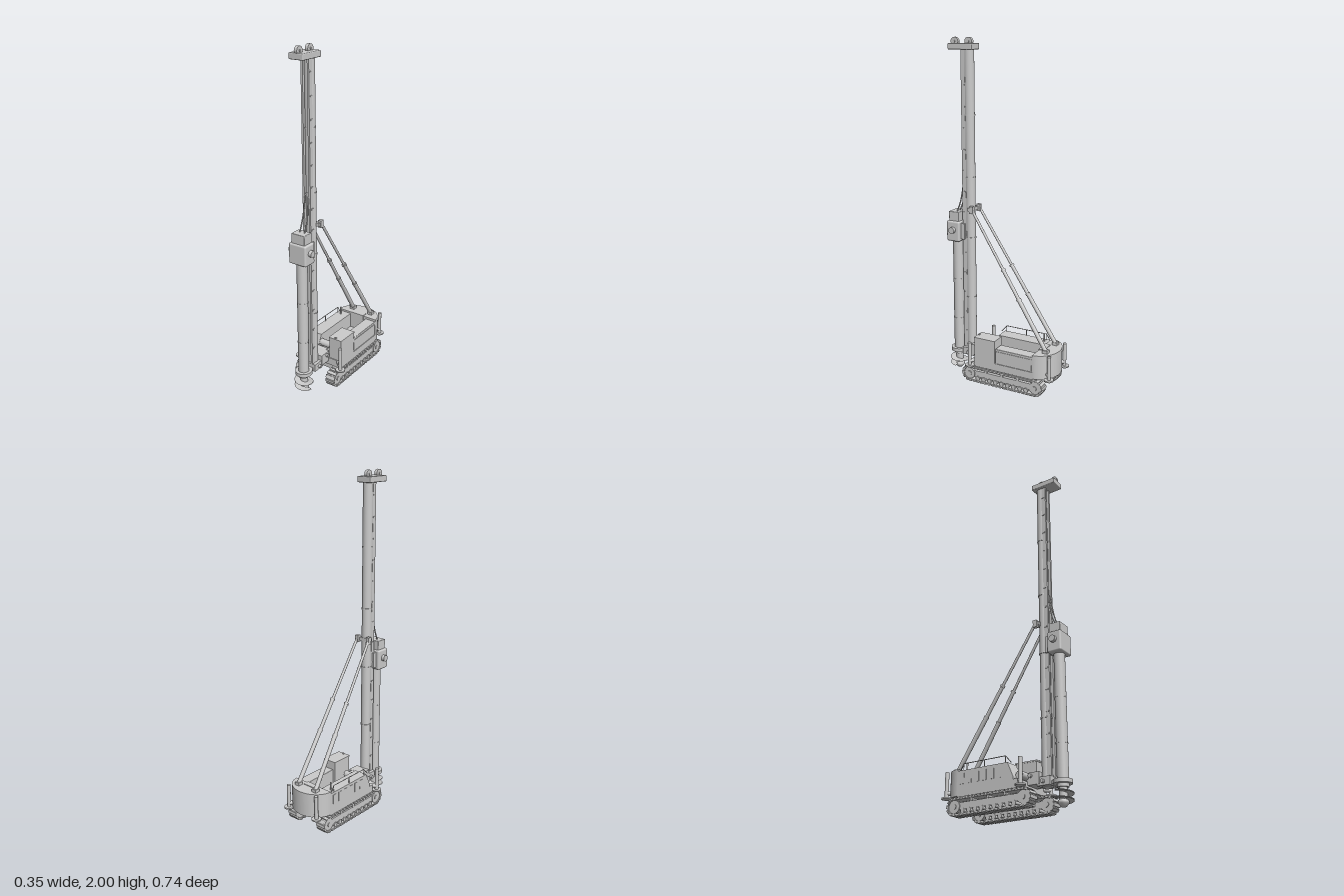
import * as THREE from 'three';
import { RoundedBoxGeometry } from 'three/addons/geometries/RoundedBoxGeometry.js';
import { ParametricGeometry } from 'three/addons/geometries/ParametricGeometry.js';

const grey = new THREE.MeshStandardMaterial({ color: 0xcccccc });
const greyThin = new THREE.MeshStandardMaterial({ color: 0xcccccc, side: THREE.DoubleSide });

export function createModel() {
  const model = new THREE.Group();
  model.name = 'pilingRig';

  const add = (name, geometry, x = 0, y = 0, z = 0, parent = model, material = grey) => {
    const mesh = new THREE.Mesh(geometry, material);
    mesh.name = name;
    mesh.position.set(x, y, z);
    parent.add(mesh);
    return mesh;
  };
  // Box given by its extents
  const box = (name, x0, x1, y0, y1, z0, z1, parent) =>
    add(name, new THREE.BoxGeometry(x1 - x0, y1 - y0, z1 - z0), (x0 + x1) / 2, (y0 + y1) / 2, (z0 + z1) / 2, parent);
  const rounded = (name, x0, x1, y0, y1, z0, z1, r) =>
    add(name, new RoundedBoxGeometry(x1 - x0, y1 - y0, z1 - z0, 3, r), (x0 + x1) / 2, (y0 + y1) / 2, (z0 + z1) / 2);
  // Upright cylinder, and cylinder lying along x
  const post = (name, r, y0, y1, x, z, parent, sides = 24) =>
    add(name, new THREE.CylinderGeometry(r, r, y1 - y0, sides), x, (y0 + y1) / 2, z, parent);
  const axle = (name, r, x0, x1, y, z, parent) =>
    add(name, new THREE.CylinderGeometry(r, r, x1 - x0, 24).rotateZ(Math.PI / 2), (x0 + x1) / 2, y, z, parent);
  // Cylinder between two points
  const rod = (name, a, b, r, parent) => {
    const mesh = add(name, new THREE.CylinderGeometry(r, r, a.distanceTo(b), 16), 0, 0, 0, parent);
    mesh.position.copy(a).lerp(b, 0.5);
    mesh.quaternion.setFromUnitVectors(new THREE.Vector3(0, 1, 0), b.clone().sub(a).normalize());
    return mesh;
  };
  // Side profile in (z, y), extruded across x from x0 to x1
  const sideExtrude = (shape, x0, x1) => new THREE.ExtrudeGeometry(shape, { depth: x1 - x0, bevelEnabled: false, curveSegments: 16 })
    .rotateY(-Math.PI / 2).translate(x1, 0, 0);
  const V = (x, y, z) => new THREE.Vector3(x, y, z);

  // Crawler tracks
  const half = 0.215, zMid = -0.055, yMid = 0.049, R = 0.043;
  const stadium = (r, Type) => {
    const s = new Type();
    s.moveTo(zMid - half, yMid - r);
    s.lineTo(zMid + half, yMid - r);
    s.absarc(zMid + half, yMid, r, -Math.PI / 2, Math.PI / 2, false);
    s.lineTo(zMid - half, yMid + r);
    s.absarc(zMid - half, yMid, r, Math.PI / 2, Math.PI * 1.5, false);
    return s;
  };
  for (const s of [-1, 1]) {
    const track = new THREE.Group();
    track.name = s > 0 ? 'leftTrack' : 'rightTrack';
    model.add(track);
    const cx = s * 0.111;
    const belt = stadium(R, THREE.Shape);
    belt.holes.push(stadium(R - 0.007, THREE.Path));
    add('trackBelt', sideExtrude(belt, cx - 0.029, cx + 0.029), 0, 0, 0, track);
    box('trackFrame', cx - 0.022, cx + 0.022, 0.032, 0.07, zMid - half, zMid + half, track);
    const path = stadium(R + 0.002, THREE.Path);
    for (let i = 0; i < 46; i++) {
      const p = path.getPointAt(i / 46), t = path.getTangentAt(i / 46);
      const shoe = add('trackShoe', new THREE.BoxGeometry(0.062, 0.008, 0.017), cx, p.y, p.x, track);
      shoe.rotation.x = -Math.atan2(t.y, t.x);
    }
    for (const e of [-1, 1]) {
      axle('trackWheel', 0.035, cx - 0.026, cx + 0.026, yMid, zMid + e * half, track);
      axle('wheelHub', 0.014, cx - 0.03, cx + 0.03, yMid, zMid + e * half, track);
    }
    for (let i = 0; i < 9; i++) axle('roadRoller', 0.013, cx - 0.027, cx + 0.027, 0.025, -0.215 + i * 0.04, track);
    for (const z of [-0.16, -0.055, 0.05]) axle('carrierRoller', 0.008, cx - 0.026, cx + 0.026, 0.077, z, track);
  }
  box('undercarriage', -0.085, 0.085, 0.045, 0.09, -0.2, 0.09);
  post('slewRing', 0.075, 0.085, 0.105, 0, -0.055, model, 32);

  // Upper deck and rear counterweight
  box('deck', -0.135, 0.135, 0.1, 0.145, -0.256, 0.13);
  const rear = new THREE.Shape();
  rear.moveTo(0.134, 0.253);
  rear.absellipse(0, 0.253, 0.134, 0.112, 0, Math.PI, false);
  add('counterweight', new THREE.ExtrudeGeometry(rear, { depth: 0.145, bevelEnabled: false, curveSegments: 32 })
    .rotateX(-Math.PI / 2), 0, 0.105, 0);
  box('counterweightBlock', -0.045, 0.045, 0.2, 0.254, -0.285, -0.25);

  // Right machinery hood with sloping front and vents
  const hood = new THREE.Shape([[-0.256, 0.14], [0.1, 0.14], [0.1, 0.16], [0.065, 0.238], [-0.256, 0.238]]
    .map(([z, y]) => new THREE.Vector2(z, y)));
  add('rightHood', sideExtrude(hood, -0.135, -0.052));
  for (let i = 0; i < 6; i++) box('hoodVent', -0.137, -0.134, 0.165, 0.222, -0.235 + i * 0.048, -0.21 + i * 0.048);
  post('exhaust', 0.005, 0.238, 0.285, -0.102, -0.217);

  // Handrail over the right hood
  rod('handrail', V(-0.128, 0.275, 0.05), V(-0.128, 0.275, -0.22), 0.0022);
  rod('railFront', V(-0.128, 0.275, 0.05), V(-0.128, 0.235, 0.085), 0.0022);
  rod('railBack', V(-0.128, 0.275, -0.22), V(-0.128, 0.235, -0.245), 0.0022);
  for (const z of [-0.22, -0.085, 0.05]) post('railPost', 0.0022, 0.235, 0.275, -0.128, z, model, 8);

  // Left hood and operator cab
  rounded('leftHood', 0.06, 0.131, 0.14, 0.236, -0.256, -0.012, 0.004);
  box('hoodPanel', 0.13, 0.134, 0.152, 0.222, -0.248, -0.015);
  box('cab', 0.05, 0.135, 0.105, 0.278, -0.008, 0.125);
  box('cabRoof', 0.048, 0.137, 0.276, 0.284, -0.01, 0.128);
  box('cabLamp', 0.084, 0.096, 0.284, 0.29, 0.114, 0.122);

  // Winches
  axle('rearWinch', 0.021, -0.05, 0.025, 0.19, 0.066);
  axle('frontWinch', 0.022, -0.105, 0.025, 0.172, 0.118);
  for (const x of [-0.047, 0.022]) box('winchBracket', x, x + 0.006, 0.14, 0.19, 0.05, 0.135);

  // Stabilising jacks
  for (const s of [-1, 1]) for (const [x, z] of [[0.108, -0.347], [0.147, 0.152]]) {
    post('jackCylinder', 0.011, 0.11, 0.25, s * x, z);
    post('jackPad', 0.028, 0.103, 0.111, s * x, z);
    rod('jackArm', V(s * x, 0.135, z), V(s * (x - 0.035), 0.135, z + (z < 0 ? 0.04 : -0.03)), 0.012);
  }

  // Mast foot
  box('footBracket', -0.048, 0.048, 0.125, 0.19, 0.125, 0.2);
  box('mastFoot', -0.045, 0.045, 0.115, 0.16, 0.185, 0.262);
  for (const y of [0.135, 0.172]) axle('footPin', 0.01, -0.06, 0.06, y, y < 0.15 ? 0.222 : 0.15);

  // Mast with collars and guide rails
  post('mast', 0.029, 0.11, 1.935, 0, 0.222, model, 32);
  for (const y of [0.48, 0.85, 1.21, 1.57]) post('mastCollar', 0.032, y - 0.004, y + 0.004, 0, 0.222, model, 32);
  for (const s of [-1, 1]) {
    box('guideRail', s * 0.02 - 0.006, s * 0.02 + 0.006, 0.13, 1.935, 0.236, 0.262);
    for (let i = 0; i < 14; i++) box('railClip', s * 0.026 - 0.003, s * 0.026 + 0.003, 0.26 + i * 0.123, 0.268 + i * 0.123, 0.238, 0.254);
  }

  // Mast head and sheaves
  rounded('mastHead', -0.045, 0.045, 1.932, 1.966, 0.18, 0.335, 0.005);
  for (const z of [0.222, 0.312]) {
    axle('sheave', 0.024, -0.009, 0.009, 1.976, z);
    axle('sheavePin', 0.006, -0.013, 0.013, 1.976, z);
  }

  // Telescopic backstays
  for (const s of [-1, 1]) {
    const stay = new THREE.Group();
    stay.name = s > 0 ? 'leftBackstay' : 'rightBackstay';
    model.add(stay);
    const foot = V(s * 0.066, 0.255, -0.308), top = V(s * 0.043, 1.025, 0.187);
    const at = t => foot.clone().lerp(top, t);
    rod('lowerTube', foot, at(0.37), 0.0125, stay);
    rod('middleTube', at(0.36), at(0.58), 0.0105, stay);
    rod('upperRod', at(0.57), top, 0.008, stay);
    for (const t of [0.365, 0.575]) rod('stayCollar', at(t - 0.006), at(t + 0.006), 0.0145, stay);
    box('stayFoot', s * 0.066 - 0.015, s * 0.066 + 0.015, 0.245, 0.268, -0.322, -0.29, stay);
    box('stayLug', s * 0.041 - 0.011, s * 0.041 + 0.011, 1.005, 1.047, 0.178, 0.202, stay);
  }
  box('stayCrossplate', -0.046, 0.046, 1.015, 1.035, 0.192, 0.215);

  // Rotary drive head
  const zDrill = 0.312;
  rounded('driveHead', -0.058, 0.058, 0.825, 0.947, 0.27, 0.356, 0.01);
  rounded('driveMotor', -0.044, 0.044, 0.94, 1.003, 0.279, 0.346, 0.004);
  axle('sideMotor', 0.019, -0.077, 0.077, 0.895, zDrill);
  box('headCarriage', -0.036, 0.036, 0.84, 0.935, 0.245, 0.275);
  for (const s of [-1, 1]) {
    const hose = new THREE.CatmullRomCurve3([V(s * 0.016, 1, 0.305), V(s * 0.016, 1.06, 0.282), V(s * 0.013, 1.12, 0.27), V(s * 0.011, 1.2, 0.26)]);
    add('hose', new THREE.TubeGeometry(hose, 16, 0.004, 8));
  }

  // Casing, its lower guide, and the auger
  post('casing', 0.031, 0.1, 0.83, 0, zDrill, model, 32);
  for (const y of [0.33, 0.58]) post('casingJoint', 0.0325, y - 0.004, y + 0.004, 0, zDrill, model, 32);
  post('casingGuide', 0.05, 0.118, 0.139, 0, zDrill, model, 32);
  box('guideArm', -0.03, 0.03, 0.12, 0.137, 0.24, 0.29);
  post('augerStem', 0.022, 0.03, 0.11, 0, zDrill);
  add('augerTip', new THREE.LatheGeometry([[0, 0], [0.014, 0.003], [0.028, 0.018], [0.03, 0.03], [0.022, 0.04], [0, 0.04]]
    .map(([r, y]) => new THREE.Vector2(r, y)), 24), 0, 0, zDrill);
  for (const lift of [0, 0.005]) {
    add('augerFlight', new ParametricGeometry((u, v, p) => {
      const a = u * Math.PI * 3.2, r = 0.02 + v * 0.035;
      p.set(Math.cos(a) * r, 0.027 + lift + u * 0.055, Math.sin(a) * r);
    }, 60, 1), 0, 0, zDrill, model, greyThin);
  }
  return model;
}
